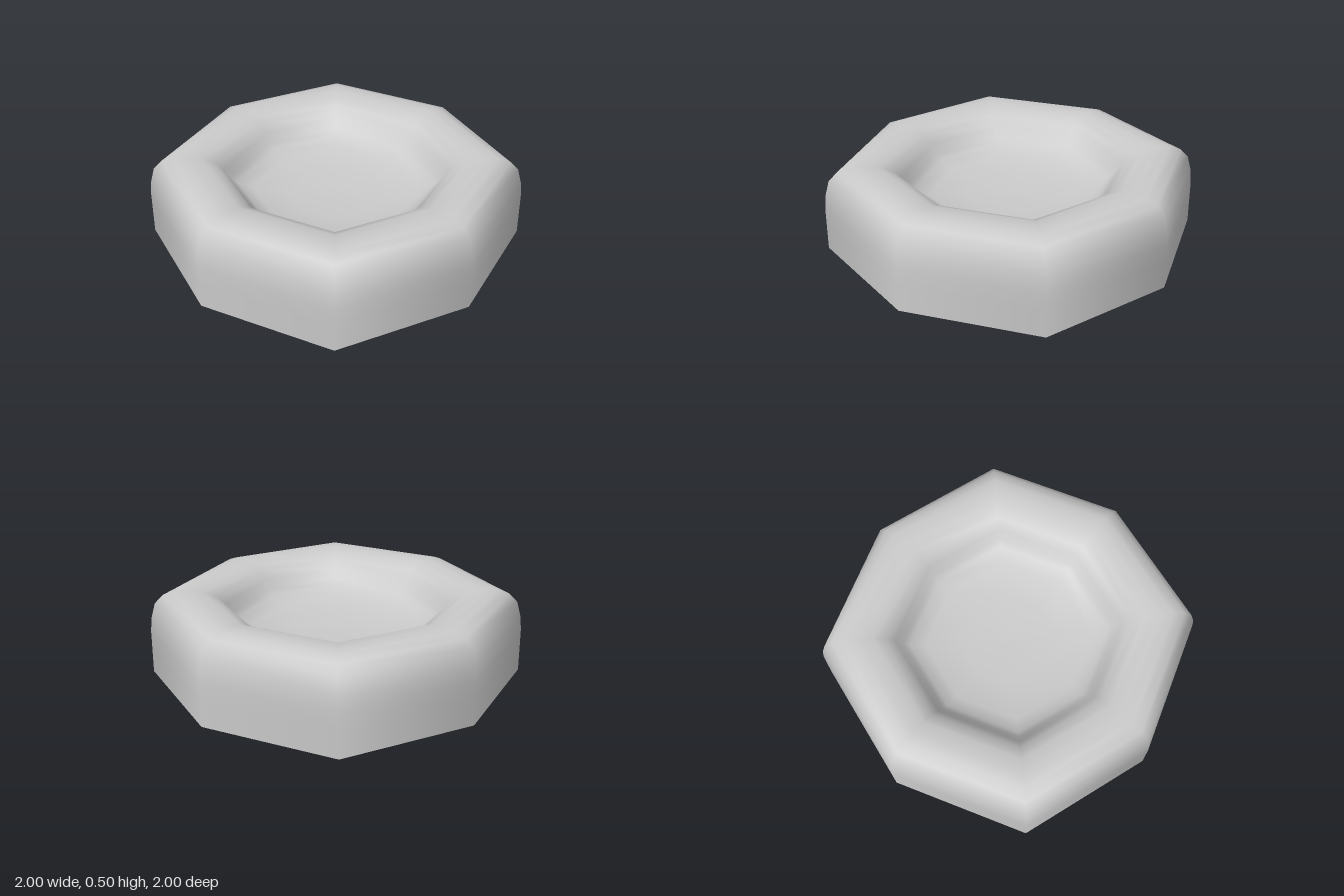
import * as THREE from 'three';

// Profile from the open foot, over the rounded rim, down to the dish floor: [radius, height]
const PROFILE = [
  [1, 0], [1, 0.15], [1, 0.25], [0.993, 0.33], [0.97, 0.42], [0.925, 0.47], [0.86, 0.495],
  [0.79, 0.495], [0.71, 0.488], [0.645, 0.46], [0.6, 0.41], [0.565, 0.36], [0.53, 0.33],
  [0.45, 0.29], [0.25, 0.265], [0, 0.26],
];
const SIDES = 8;
const CORNER = 1.06; // diagonal corners reach a little further out

export function createModel() {
  const group = new THREE.Group();
  group.name = 'octagonalDish';

  const points = PROFILE.map(([r, y]) => new THREE.Vector2(r, y));
  const geometry = new THREE.LatheGeometry(points, SIDES);

  // Push every second column of vertices outward
  const pos = geometry.attributes.position;
  for (let i = 0; i < pos.count; i++) {
    const column = Math.floor(i / points.length);
    const s = column % 2 ? CORNER : 1;
    pos.setXYZ(i, pos.getX(i) * s, pos.getY(i), pos.getZ(i) * s);
  }

  // Thin shell, open underneath
  const shell = new THREE.Mesh(
    geometry,
    new THREE.MeshStandardMaterial({ color: 0xcccccc, side: THREE.DoubleSide })
  );
  shell.name = 'dishShell';
  group.add(shell);
  return group;
}
